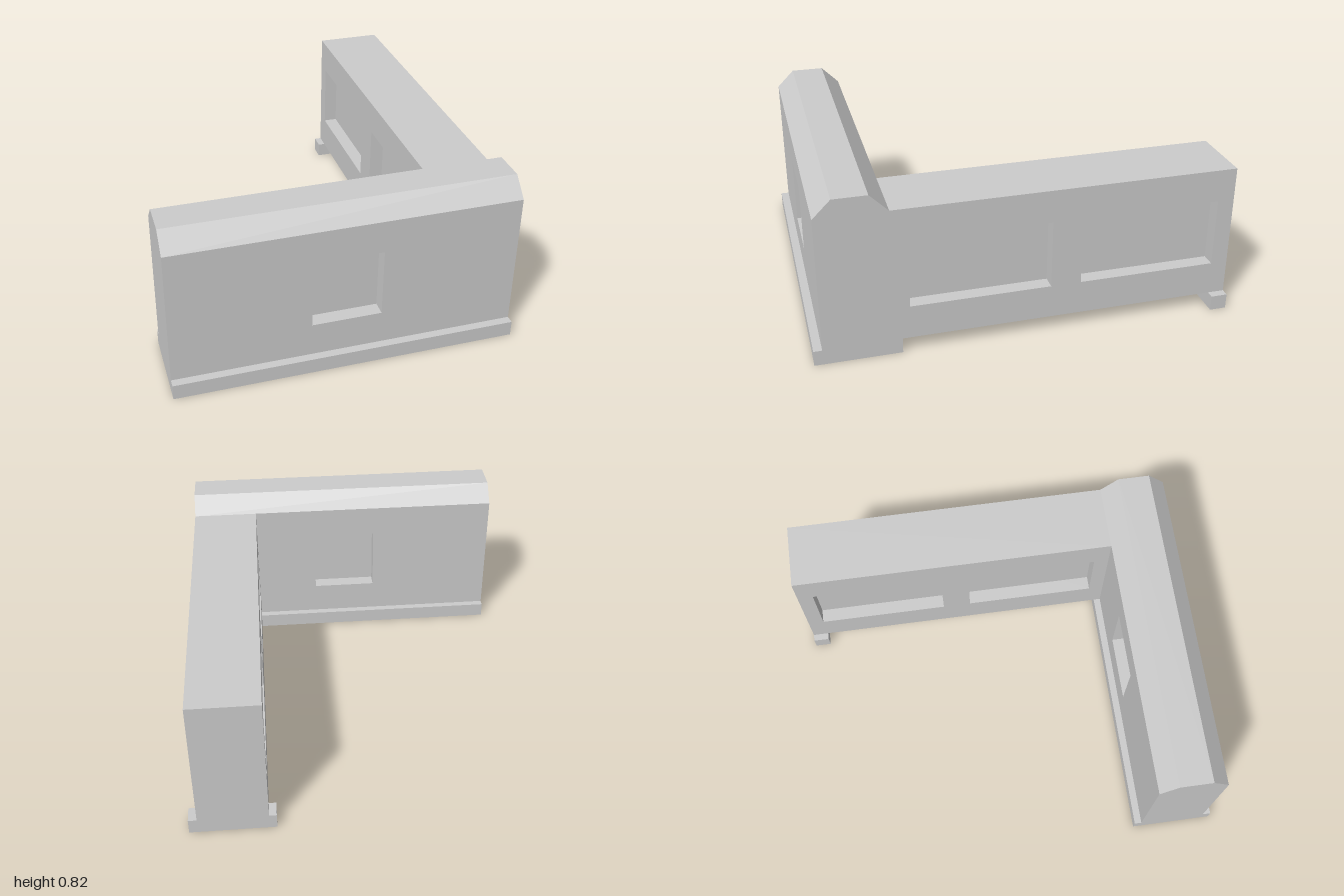
import * as THREE from 'three';

const material = new THREE.MeshStandardMaterial({ color: 0xcccccc, flatShading: true });
const RECESS = 0.07;              // depth of the blind windows
const SILL = 0.24, HEAD = 0.575;  // window height range
const BASE = 0.075, EAVES = 0.735;

function mesh(name, geometry) {
  const m = new THREE.Mesh(geometry, material);
  m.name = name;
  return m;
}

function box(name, x0, x1, y0, y1, z0, z1) {
  const m = mesh(name, new THREE.BoxGeometry(x1 - x0, y1 - y0, z1 - z0));
  m.position.set((x0 + x1) / 2, (y0 + y1) / 2, (z0 + z1) / 2);
  return m;
}

function polygon(points) {
  return points.map(([x, y]) => new THREE.Vector2(x, y));
}

function rect(x0, x1, y0, y1) {
  return polygon([[x0, y0], [x1, y0], [x1, y1], [x0, y1]]);
}

// Wall in the XY plane, thickness along +z, with windows recessed on both faces
function recessedWall(name, x0, x1, thickness, windows) {
  const wall = new THREE.Group();
  wall.name = name;
  const shape = new THREE.Shape(rect(x0, x1, BASE, EAVES));
  for (const [a, b] of windows) {
    shape.holes.push(new THREE.Path(rect(a, b, SILL, HEAD).reverse()));
    wall.add(box('windowPanel', a, b, SILL, HEAD, RECESS, thickness - RECESS));
  }
  wall.add(mesh('wallBody', new THREE.ExtrudeGeometry(shape, { depth: thickness, bevelEnabled: false })));
  return wall;
}

export function createModel() {
  const model = new THREE.Group();
  model.name = 'cornerWall';

  // Front wall with one window
  const front = recessedWall('frontWall', -0.835, 0.795, 0.33, [[-0.185, 0.145]]);
  front.position.z = 0.63;
  model.add(front);

  // Chamfered coping along the front wall (profile uses -z as its first axis)
  const profile = new THREE.Shape(polygon([
    [-0.96, EAVES], [-0.63, EAVES], [-0.715, 0.82], [-0.875, 0.82]]));
  const coping = mesh('frontCoping', new THREE.ExtrudeGeometry(profile, { depth: 1.63, bevelEnabled: false }));
  coping.rotation.y = Math.PI / 2;
  coping.position.x = -0.835;
  model.add(coping);

  // Wide plinth under the front wall
  model.add(box('frontPlinth', -0.835, 0.795, 0, BASE, 0.595, 1));

  // Side wall running back, with two windows
  const side = recessedWall('sideWall', -0.63, 1, 0.33, [[-0.555, 0.11], [0.255, 0.92]]);
  side.rotation.y = Math.PI / 2;
  side.position.x = 0.465;
  model.add(side);

  // Foot under the rear end of the side wall
  model.add(box('rearFoot', 0.43, 0.835, 0, BASE, -1, -0.92));

  return model;
}
